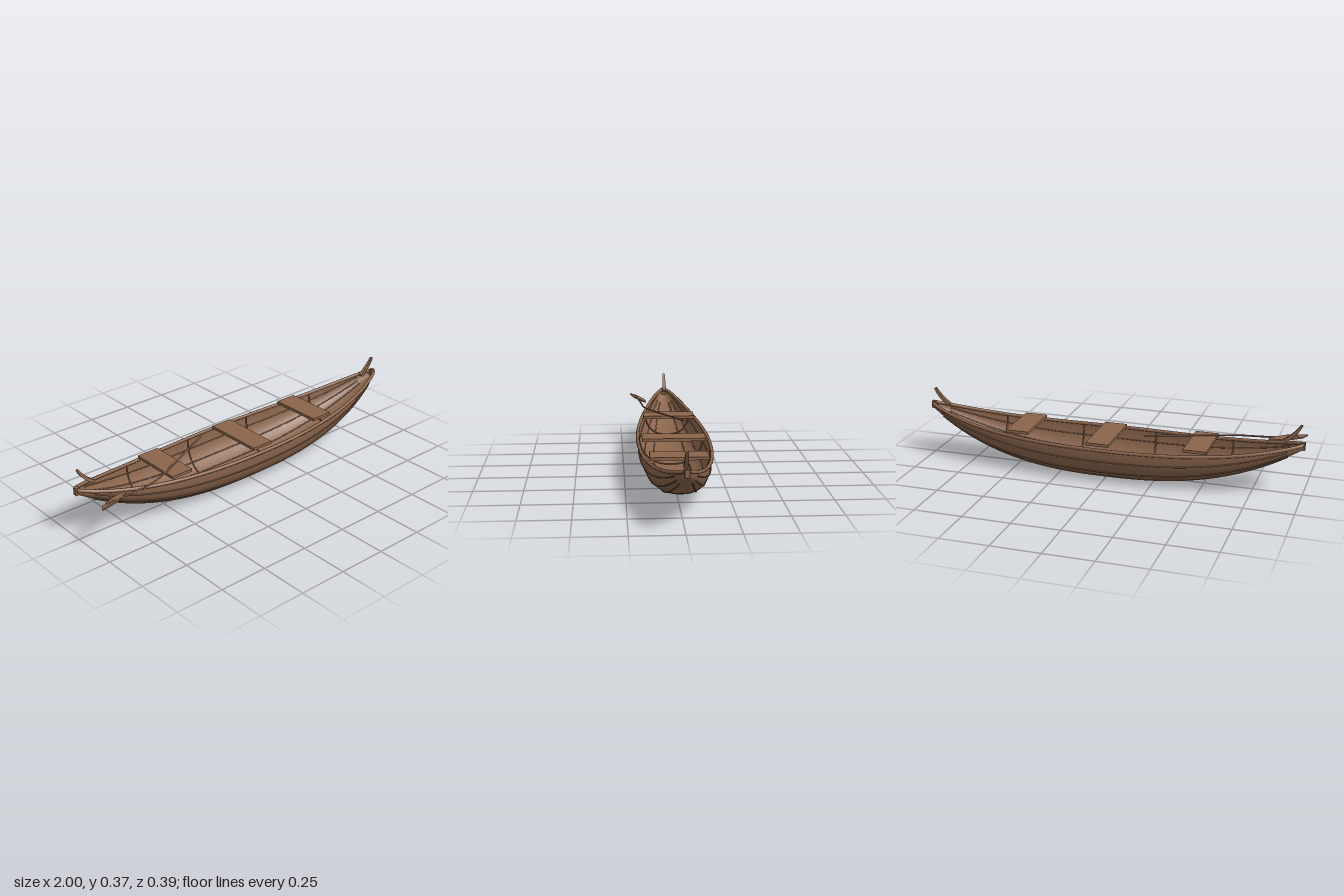
import * as THREE from 'three';

const mat = (name, color, side = THREE.FrontSide) => {
  const m = new THREE.MeshStandardMaterial({ color, side });
  m.name = name;
  return m;
};

const L = 0.99; // half length of the shell
const N = 2 / 2.4; // superellipse exponent of the cross-section
const rise = (t) => 0.19 + (t < 0 ? 0.08 : 0.092) * Math.abs(t) ** 3; // gunwale height
const keel = (t) => 0.003 + (t < 0 ? 0.24 : 0.252) * Math.abs(t) ** 2.6; // bottom height
const beam = (t) => 0.012 + 0.171 * Math.pow(Math.max(0, 1 - t * t), 0.77); // half width

// point on the hull: t runs end to end, a from one gunwale (0) to the other (PI)
function hullPoint(t, a, grow = 0) {
  const c = Math.cos(a), s = Math.max(0, Math.sin(a));
  return new THREE.Vector3(
    t * L,
    rise(t) - (rise(t) - keel(t) + grow) * Math.pow(s, N),
    (beam(t) + grow) * Math.sign(c) * Math.pow(Math.abs(c), N)
  );
}

function tube(pointAt, count, radius, sides = 6) {
  const pts = Array.from({ length: count + 1 }, (_, i) => pointAt(i / count));
  return new THREE.TubeGeometry(new THREE.CatmullRomCurve3(pts), count * 2, radius, sides);
}

export function createModel() {
  const wood = mat('wood', 0x8b654c, THREE.DoubleSide);
  const model = new THREE.Group();
  model.name = 'rowingBoat';
  const boat = new THREE.Group();
  boat.name = 'boat';
  boat.position.z = -0.005;
  model.add(boat);

  const add = (name, geometry, parent = boat) => {
    const mesh = new THREE.Mesh(geometry, wood);
    mesh.name = name;
    parent.add(mesh);
    return mesh;
  };

  // shell: a plane bent round the cross-sections
  const shell = new THREE.PlaneGeometry(2, 1, 64, 32);
  const p = shell.attributes.position;
  for (let i = 0; i < p.count; i++) {
    const t = Math.sin((p.getX(i) * Math.PI) / 2);
    const v = hullPoint(t, (p.getY(i) + 0.5) * Math.PI);
    p.setXYZ(i, v.x, v.y, v.z);
  }
  shell.computeVertexNormals();
  add('shell', shell);

  // gunwale rails and outer battens, both sides
  for (const side of [0, 1]) {
    const angle = (a) => (side ? Math.PI - a : a);
    add('gunwale', tube((u) => hullPoint(Math.sin((u - 0.5) * Math.PI), angle(0)), 32, 0.009, 8));
    for (const a of [0.28, 0.7, 1.1]) {
      add('batten', tube((u) => hullPoint((2 * u - 1) * 0.93, angle(a), 0.001), 32, 0.0036));
    }
  }

  // ribs inside the shell
  for (const x of [-0.62, -0.2, 0.2, 0.62]) {
    add('rib', tube((u) => hullPoint(x / L, u * Math.PI, -0.006), 28, 0.004));
  }

  // seats
  for (const [x, y, width] of [[-0.48, 0.221, 0.28], [0.018, 0.209, 0.325], [0.458, 0.221, 0.28]]) {
    add('seat', new THREE.BoxGeometry(0.12, 0.015, width)).position.set(x, y, 0);
  }

  // curved horn, thinner towards the tip
  const hornShape = new THREE.Shape();
  hornShape.moveTo(0.892, 0.287);
  hornShape.quadraticCurveTo(0.942, 0.322, 0.974, 0.37);
  hornShape.lineTo(0.984, 0.366);
  hornShape.quadraticCurveTo(0.96, 0.31, 0.903, 0.275);
  const horn = new THREE.ExtrudeGeometry(hornShape, { depth: 1, bevelEnabled: false, curveSegments: 8 });
  horn.translate(0, 0, -0.5);
  const h = horn.attributes.position;
  for (let i = 0; i < h.count; i++) {
    h.setZ(i, h.getZ(i) * (0.022 - 0.1 * (h.getY(i) - 0.275)));
  }
  horn.computeVertexNormals();

  // stem block and horn at each end
  for (const turn of [0, Math.PI]) {
    const end = new THREE.Group();
    end.name = turn ? 'rightEnd' : 'leftEnd';
    end.rotation.y = turn;
    boat.add(end);
    const block = add('stemBlock', new THREE.BoxGeometry(0.02, 0.038, 0.022), end);
    block.position.set(0.99, turn ? 0.261 : 0.275, 0);
    add('horn', horn, end);
  }

  // paddle lying across the side
  const paddle = new THREE.Group();
  paddle.name = 'paddle';
  model.add(paddle);
  const path = [[-0.94, 0.247, 0.165], [-0.8, 0.237, 0.142], [-0.63, 0.234, 0.12], [-0.42, 0.241, 0.03], [-0.2, 0.25, -0.07]];
  const shaft = new THREE.CatmullRomCurve3(path.map((q) => new THREE.Vector3(...q)));
  add('paddleShaft', new THREE.TubeGeometry(shaft, 24, 0.0045, 6), paddle);

  // blade, tilted up towards its outer tip
  const outline = [[-0.985, 0.195], [-0.965, 0.163], [-0.92, 0.14], [-0.86, 0.115], [-0.8, 0.107],
    [-0.802, 0.122], [-0.84, 0.145], [-0.885, 0.172], [-0.94, 0.186]];
  const blade = new THREE.ExtrudeGeometry(
    new THREE.Shape(outline.map(([x, z]) => new THREE.Vector2(x, -z))),
    { depth: 0.008, bevelEnabled: false }
  );
  blade.rotateX(-Math.PI / 2);
  const b = blade.attributes.position;
  for (let i = 0; i < b.count; i++) {
    b.setY(i, b.getY(i) + 0.231 + 0.16 * (b.getZ(i) - 0.115));
  }
  blade.computeVertexNormals();
  add('paddleBlade', blade, paddle);

  return model;
}
